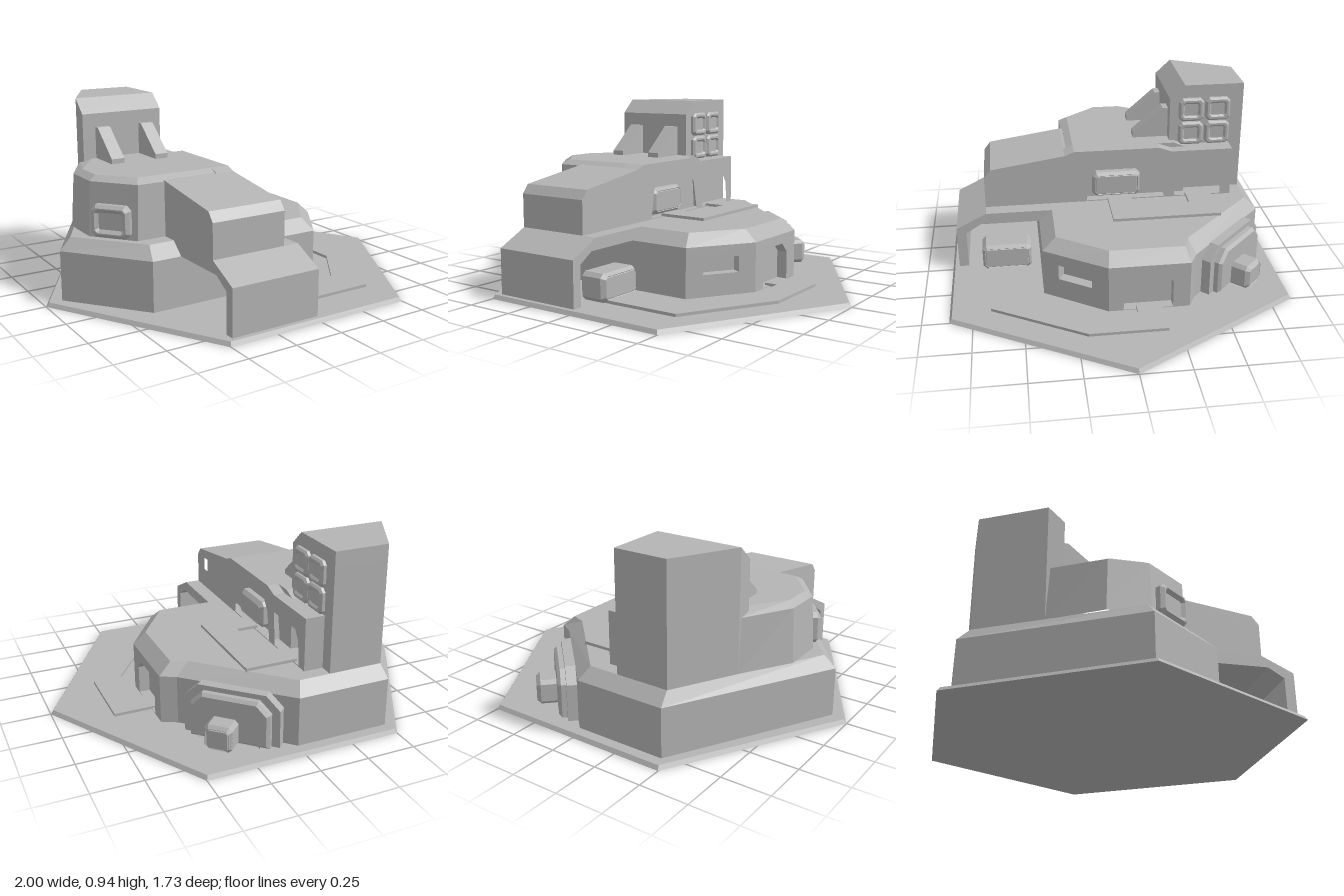
import * as THREE from 'three';

const plaster = new THREE.MeshStandardMaterial({ color: 0xb4b4b4 });
plaster.name = 'grey plaster';

const v2 = (pts) => pts.map(([x, y]) => new THREE.Vector2(x, y));

function mesh(name, geometry) {
  const m = new THREE.Mesh(geometry, plaster);
  m.name = name;
  return m;
}

// Outline extruded along +z, with optional holes
function extrude(pts, depth, holes = [], bevel = 0) {
  const shape = new THREE.Shape(v2(pts));
  for (const h of holes) shape.holes.push(new THREE.Path(v2(h)));
  return new THREE.ExtrudeGeometry(shape, {
    depth: depth - bevel, bevelEnabled: bevel > 0, bevelSegments: 1,
    bevelThickness: bevel, bevelSize: bevel, bevelOffset: -bevel,
  });
}

// Profile of [z, y] points extruded from x0 to x1
function acrossX(pts, x0, x1, holes = []) {
  const flip = (list) => list.map(([z, y]) => [-z, y]);
  return extrude(flip(pts), x1 - x0, holes.map(flip)).rotateY(Math.PI / 2).translate(x0, 0, 0);
}

// Plan of [x, z] points raised from y by a height
function slab(pts, y, height) {
  return extrude(pts.map(([x, z]) => [x, -z]), height).rotateX(-Math.PI / 2).translate(0, y, 0);
}

// Flat-faced body through horizontal rings { y, pts }, closed at the top;
// open lists the edges left out of the lowest band
function loft(rings, open = []) {
  const pos = [];
  const at = (r, i) => {
    const [x, z] = r.pts[i % r.pts.length];
    return [x, r.y, z];
  };
  const n = rings[0].pts.length;
  for (let k = 0; k + 1 < rings.length; k++) {
    for (let i = 0; i < n; i++) {
      if (k === 0 && open.includes(i)) continue;
      const a = at(rings[k], i), b = at(rings[k], i + 1);
      const c = at(rings[k + 1], i + 1), d = at(rings[k + 1], i);
      pos.push(...a, ...b, ...c, ...a, ...c, ...d);
    }
  }
  const top = rings[rings.length - 1];
  for (let i = 1; i + 1 < n; i++) pos.push(...at(top, 0), ...at(top, i), ...at(top, i + 1));
  const g = new THREE.BufferGeometry();
  g.setAttribute('position', new THREE.Float32BufferAttribute(pos, 3));
  g.computeVertexNormals();
  return g;
}

// Rectangle with cut corners, standing on y = 0
function octagon(w, h, c, y = 0) {
  const a = w / 2;
  return [[-a + c, y], [a - c, y], [a, y + c], [a, y + h - c],
    [a - c, y + h], [-a + c, y + h], [-a, y + h - c], [-a, y + c]];
}

// Doorway with cut upper corners
function arch(w, h, c, x = 0, y = 0) {
  const a = w / 2;
  return [[x - a, y], [x + a, y], [x + a, y + h - c], [x + a - c, y + h], [x - a + c, y + h], [x - a, y + h - c]];
}

// Bevelled housing with a recessed centre, facing +z
function pod(name, w, h, d) {
  const g = new THREE.Group();
  g.name = name;
  const b = Math.min(0.02, d * 0.4), m = Math.min(w, h) * 0.24;
  const hole = octagon(w - 2 * m, h - 2 * m, 0.006, m);
  g.add(mesh('housing', extrude(octagon(w, h, m * 0.6), d, [hole], b)));
  const panel = new THREE.BoxGeometry(w - m, h - m, d * 0.6);
  g.add(mesh('recessed panel', panel.translate(0, h / 2, d * 0.3)));
  return g;
}

// Places an object on the edge from p to q, facing outwards
function onEdge(obj, p, q, along, y, out = 0) {
  const dx = q[0] - p[0], dz = q[1] - p[1], len = Math.hypot(dx, dz);
  const ux = dx / len, uz = dz / len;
  obj.rotation.y = Math.atan2(-dz, dx);
  obj.position.set(p[0] + ux * along - uz * out, y, p[1] + uz * along + ux * out);
  return obj;
}

// Wall with openings and a plain back behind them
function openWall(name, p, q, y0, y1, hole) {
  const len = Math.hypot(q[0] - p[0], q[1] - p[1]), h = y1 - y0, t = 0.06;
  const g = new THREE.Group();
  g.name = name;
  g.add(mesh('wall', extrude([[0, 0], [len, 0], [len, h], [0, h]], t, [hole]).translate(0, 0, -t)));
  g.add(mesh('recess back', new THREE.BoxGeometry(len - 0.02, h, 0.01).translate(len / 2, h / 2, -t)));
  return onEdge(g, p, q, 0, y0);
}

export function createModel() {
  const model = new THREE.Group();
  model.name = 'outpost';

  // Hexagonal ground plate
  const plate = new THREE.CylinderGeometry(0.985, 1, 0.02, 6).rotateY(Math.PI / 2).translate(0, 0.01, 0).toNonIndexed();
  plate.computeVertexNormals();
  model.add(mesh('ground plate', plate));

  // Raised walkways
  model.add(mesh('ground walkway', slab([[0.5, -0.19], [0.72, -0.19], [0.72, 0.2], [0.45, 0.66], [0.02, 0.66],
    [0.02, 0.47], [0.38, 0.47], [0.57, 0.2], [0.57, -0.06], [0.5, -0.06]], 0.015, 0.02)));
  model.add(mesh('roof walkway', slab([[-0.1, -0.56], [0.17, -0.56], [0.17, 0.01], [-0.1, 0.01],
    [-0.1, -0.12], [0.02, -0.12], [0.02, -0.42], [-0.1, -0.42]], 0.325, 0.02)));

  // Lower storey
  const base = [[-0.62, 0.39], [0.32, 0.39], [0.525, 0.08], [0.525, -0.33],
    [0.45, -0.37], [0.01, -0.8], [-0.47, -0.8], [-0.92, 0.01]];
  const roof = [[-0.6, 0.32], [0.29, 0.32], [0.46, 0.07], [0.46, -0.31],
    [0.38, -0.34], [-0.02, -0.74], [-0.46, -0.74], [-0.86, 0]];
  model.add(mesh('lower storey', loft([{ y: 0.02, pts: base }, { y: 0.27, pts: base }, { y: 0.33, pts: roof }], [1, 2])));
  model.add(openWall('window wall', base[1], base[2], 0.02, 0.27, [[0.09, 0.11], [0.28, 0.11], [0.28, 0.19], [0.09, 0.19]]));
  model.add(openWall('door wall', base[2], base[3], 0.02, 0.27, arch(0.25, 0.195, 0.05, 0.2, 0.003)));

  // Rear gate with its outer pod
  const gate = new THREE.Group();
  gate.name = 'rear gate';
  gate.add(mesh('gate plate', extrude(arch(0.48, 0.26, 0.07), 0.05)));
  gate.add(mesh('gate frame', extrude(arch(0.4, 0.235, 0.06), 0.09, [arch(0.28, 0.185, 0.045, 0, 0.005)], 0.015)));
  model.add(onEdge(gate, base[4], base[5], 0.3, 0.02));
  model.add(onEdge(pod('gate pod', 0.14, 0.13, 0.14), base[4], base[5], 0.28, 0.02, 0.05));

  // Open porch under the front wing
  model.add(mesh('porch', acrossX([[0.32, 0.33], [0.67, 0.33], [0.83, 0.25], [0.83, 0.02],
    [0.78, 0.02], [0.78, 0.22], [0.7, 0.27], [0.36, 0.27]], -0.47, 0)));
  const porchPod = pod('porch pod', 0.26, 0.14, 0.13);
  porchPod.rotation.y = Math.PI / 2;
  porchPod.position.set(-0.06, 0.025, 0.57);
  model.add(porchPod);

  // Upper storey
  const low = [[-0.62, 0.24], [-0.14, 0.24], [-0.14, -0.42], [-0.63, -0.42], [-0.78, -0.17], [-0.78, 0.04]];
  const high = [[-0.61, 0.235], [-0.14, 0.235], [-0.14, -0.42], [-0.62, -0.42], [-0.765, -0.16], [-0.765, 0.035]];
  const cap = [[-0.59, 0.19], [-0.14, 0.19], [-0.14, -0.36], [-0.57, -0.36], [-0.73, -0.13], [-0.73, 0.02]];
  model.add(mesh('upper storey', loft([{ y: 0.33, pts: low }, { y: 0.6, pts: high }, { y: 0.625, pts: cap }])));
  model.add(onEdge(pod('left pod', 0.2, 0.16, 0.04), low[5], low[0], 0.128, 0.34));

  // Front wing and the side wall that carries on behind it
  const nose = [[0.67, 0.33], [0.67, 0.5], [0.635, 0.545], [0.24, 0.605]];
  model.add(mesh('front wing', acrossX([...nose, [0.2, 0.605], [0.2, 0.33]], -0.47, -0.14)));
  const wingWindow = [[0.57, 0.437], [0.57, 0.507], [0.31, 0.517], [0.31, 0.437]];
  const bay = [[0.125, 0.335], [0.1, 0.49], [0.06, 0.56], [-0.22, 0.56], [-0.27, 0.49], [-0.3, 0.335]];
  const passage = [[-0.36, 0.335], [-0.345, 0.51], [-0.57, 0.51], [-0.61, 0.45], [-0.615, 0.335]];
  model.add(mesh('side wall', acrossX([...nose, [0.19, 0.625], [-0.27, 0.625], [-0.34, 0.6], [-0.67, 0.6], [-0.67, 0.33]],
    -0.18, -0.08, [wingWindow, bay, passage])));
  const bayPod = pod('bay pod', 0.26, 0.14, 0.05);
  bayPod.rotation.y = Math.PI / 2;
  bayPod.position.set(-0.14, 0.345, -0.04);
  model.add(bayPod);

  // Tower with a sloped front edge
  const foot = [[-0.63, -0.34], [-0.18, -0.34], [-0.18, -0.74], [-0.46, -0.74], [-0.63, -0.42]];
  const crown = [[-0.63, -0.42], [-0.18, -0.42], ...foot.slice(2)];
  model.add(mesh('tower', loft([{ y: 0.33, pts: foot }, { y: 0.86, pts: foot }, { y: 0.935, pts: crown }])));

  // Tower windows
  for (const z of [-0.455, -0.6]) {
    for (const y of [0.602, 0.737]) {
      const w = pod('tower window', 0.135, 0.128, 0.025);
      w.rotation.y = Math.PI / 2;
      w.position.set(-0.18, y, z);
      model.add(w);
    }
  }

  // Buttresses in front of the tower
  for (const x of [-0.56, -0.31]) {
    model.add(mesh('buttress', acrossX([[-0.35, 0.61], [-0.15, 0.61], [-0.15, 0.65], [-0.31, 0.79], [-0.35, 0.79]], x, x + 0.07)));
  }
  return model;
}
